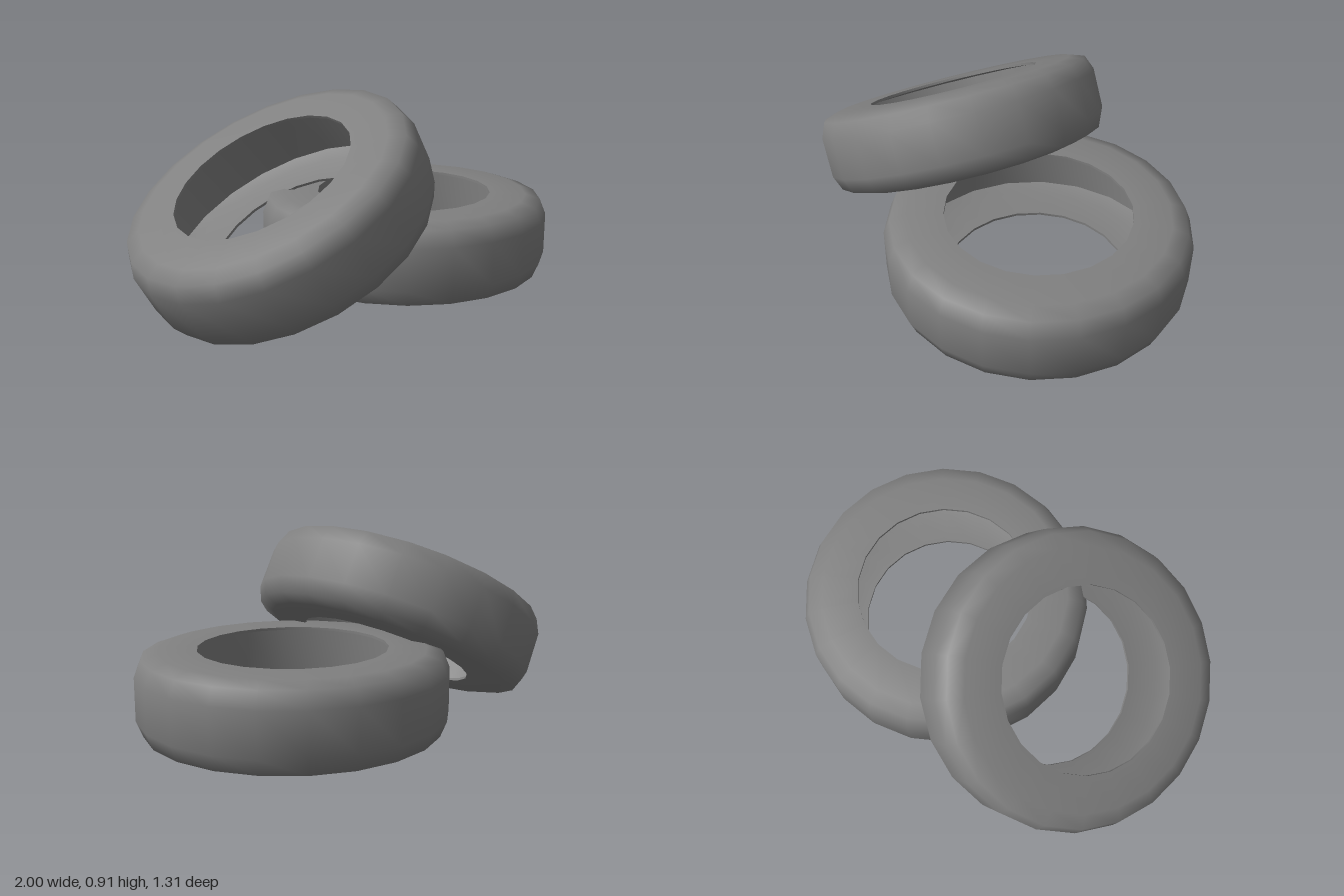
import * as THREE from 'three';
import { toCreasedNormals } from 'three/addons/utils/BufferGeometryUtils.js';

const SIDES = 22;

// Hollow tyre: closed cross-section (radius, height) spun around y
function tyreGeometry() {
  const outerHalf = [[0.403, 0.182], [0.565, 0.182], [0.632, 0.16], [0.66, 0.092]];
  const innerHalf = [[0.618, 0.148], [0.55, 0.17], [0.403, 0.17]];
  const flip = ([r, y]) => [r, -y];
  const profile = [
    ...outerHalf.map(flip),             // lower sidewall and shoulder
    ...outerHalf.slice().reverse(),     // tread, upper shoulder and sidewall
    ...innerHalf.slice().reverse(),     // upper lip and cavity
    ...innerHalf.map(flip),             // lower cavity
    flip(outerHalf[0]),                 // lower lip
  ].map(([r, y]) => new THREE.Vector2(r, y));
  const lathe = new THREE.LatheGeometry(profile, SIDES, Math.PI / 2);
  return toCreasedNormals(lathe, Math.PI / 3);
}

export function createModel() {
  const model = new THREE.Group();
  model.name = 'tyrePile';
  const geometry = tyreGeometry();
  const rubber = new THREE.MeshStandardMaterial({ color: 0x808080 });

  const addTyre = (name, x, y, tilt) => {
    const tyre = new THREE.Mesh(geometry, rubber);
    tyre.name = name;
    tyre.position.set(x, y, 0);
    tyre.rotation.z = tilt;
    model.add(tyre);
  };

  // One tyre lying flat, the other leaning on its rim
  addTyre('flatTyre', 0.34, 0.24, 0);
  addTyre('leaningTyre', -0.373, 0.455, Math.PI / 6);
  return model;
}
